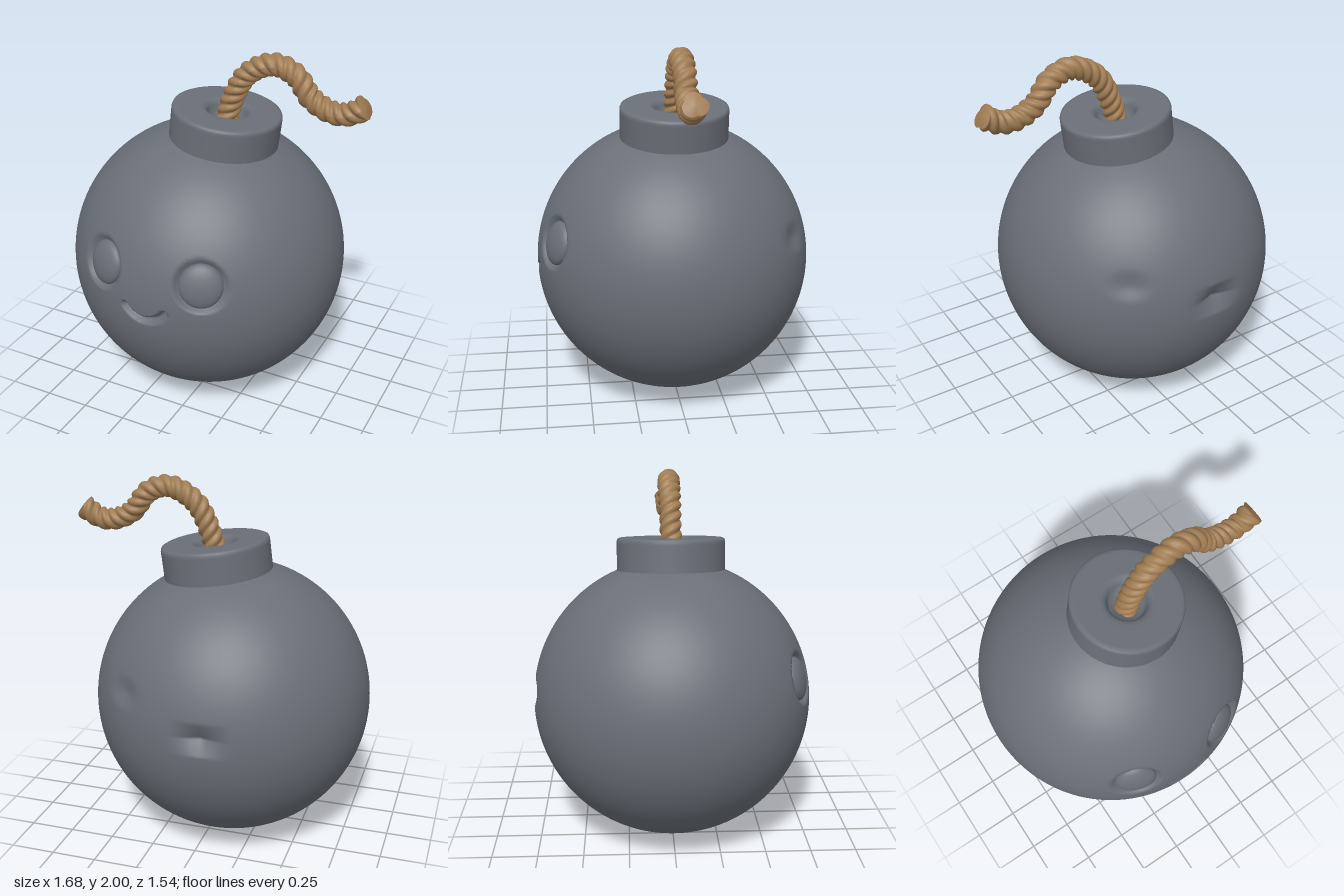
import * as THREE from 'three';

const iron = new THREE.MeshStandardMaterial({ color: 0x6a6f78 });
iron.name = 'dark iron';
const rope = new THREE.MeshStandardMaterial({ color: 0xa07c52 });
rope.name = 'tan rope';

const R = 0.773;
const EYES = [-0.285, 0.3].map((x) => new THREE.Vector3(x, 0.185, 0.69).setLength(R));
const { smoothstep } = THREE.MathUtils;

// Depth of the carving at a point on the ball: eye sockets, smile and back dents
function carve(p) {
  let depth = 0;
  if (p.z > 0) {
    for (const eye of EYES) {
      depth = Math.max(depth, 0.035 * (1 - smoothstep(p.distanceTo(eye), 0.118, 0.15)));
    }
    // Smile: distance to the lower arc of a circle, with round ends
    const dx = p.x - 0.007, dy = p.y - 0.095;
    const angle = THREE.MathUtils.clamp(Math.atan2(dx, -dy), -0.95, 0.95);
    const d = Math.hypot(dx - 0.14 * Math.sin(angle), dy + 0.14 * Math.cos(angle));
    depth = Math.max(depth, 0.035 * (1 - smoothstep(d, 0.008, 0.026)));
  } else {
    // Sharp crease and a soft dent
    const crease = Math.max(0, 1 - Math.abs(p.x + 0.04) / 0.16) * Math.max(0, 1 - Math.abs(p.y - 0.05) / 0.09);
    const dent = Math.hypot(p.x - 0.41, (p.y - 0.2) * 1.4, p.z + 0.61);
    depth = 0.06 * crease + 0.022 * (1 - smoothstep(dent, 0, 0.14));
  }
  return depth;
}

// Ball whose grid is denser towards the face
function ballGeometry() {
  const geo = new THREE.SphereGeometry(R, 200, 140);
  const pos = geo.attributes.position, uv = geo.attributes.uv;
  const p = new THREE.Vector3();
  for (let i = 0; i < pos.count; i++) {
    const a0 = 2 * Math.PI * (uv.getX(i) - 0.25);
    const t0 = Math.PI * (1 - uv.getY(i));
    const a = a0 - 0.6 * Math.sin(a0);
    const t = t0 + 0.3 * Math.sin(2 * t0);
    p.set(Math.sin(t) * Math.sin(a), Math.cos(t), Math.sin(t) * Math.cos(a)).multiplyScalar(R);
    p.setLength(R - carve(p));
    pos.setXYZ(i, p.x, p.y, p.z);
  }
  geo.computeVertexNormals();
  return geo;
}

// Three-strand twisted rope along a curve
function ropeGeometry(path, radius, turns) {
  const along = 160, around = 24;
  const geo = new THREE.TubeGeometry(path, along, radius, around, false);
  const pos = geo.attributes.position;
  const p = new THREE.Vector3(), c = new THREE.Vector3();
  for (let i = 0; i <= along; i++) {
    path.getPointAt(i / along, c);
    const twist = (2 * Math.PI * turns * i) / along;
    for (let j = 0; j <= around; j++) {
      const k = i * (around + 1) + j;
      const v = (2 * Math.PI * j) / around;
      const strand = 0.8 + 0.24 * Math.abs(Math.cos(1.5 * (v + twist)));
      // The last ring closes the cut end
      const scale = i === along ? 0 : strand * (1 + 0.1 * smoothstep(i, along - 14, along));
      p.fromBufferAttribute(pos, k).sub(c).multiplyScalar(scale).add(c);
      pos.setXYZ(k, p.x, p.y, p.z);
    }
  }
  geo.computeVertexNormals();
  return geo;
}

export function createModel() {
  const model = new THREE.Group();
  const add = (name, geo, material, parent = model) => {
    const mesh = new THREE.Mesh(geo, material);
    mesh.name = name;
    parent.add(mesh);
    return mesh;
  };

  // Ball with its face and the tilted neck
  const body = new THREE.Group();
  body.name = 'body';
  body.position.set(-0.075, R, 0);
  model.add(body);
  add('ball', ballGeometry(), iron, body);

  EYES.forEach((at, i) => {
    const eye = add(i ? 'leftEye' : 'rightEye', new THREE.SphereGeometry(1, 32, 20), iron, body);
    eye.scale.set(0.116, 0.12, 0.046);
    eye.position.copy(at).setLength(0.735);
    eye.quaternion.setFromUnitVectors(new THREE.Vector3(0, 0, 1), at.clone().normalize());
  });

  const profile = [
    [0.3, 0.62], [0.3, 0.86], [0.3, 0.872], [0.296, 0.884], [0.286, 0.889], [0.27, 0.89],
    [0.15, 0.89], [0.13, 0.888], [0.115, 0.878], [0.105, 0.86], [0.085, 0.8], [0, 0.785],
  ].map(([x, y]) => new THREE.Vector2(x, y));
  add('neck', new THREE.LatheGeometry(profile, 48), iron, body).rotation.z = -0.125;

  // Curling fuse
  const path = new THREE.CatmullRomCurve3([
    [0.025, 1.56], [0.06, 1.7], [0.15, 1.865], [0.3, 1.94], [0.42, 1.9],
    [0.51, 1.79], [0.62, 1.737], [0.71, 1.74], [0.805, 1.795],
  ].map(([x, y]) => new THREE.Vector3(x, y, 0)));
  add('fuse', ropeGeometry(path, 0.06, 6.5), rope);

  return model;
}
